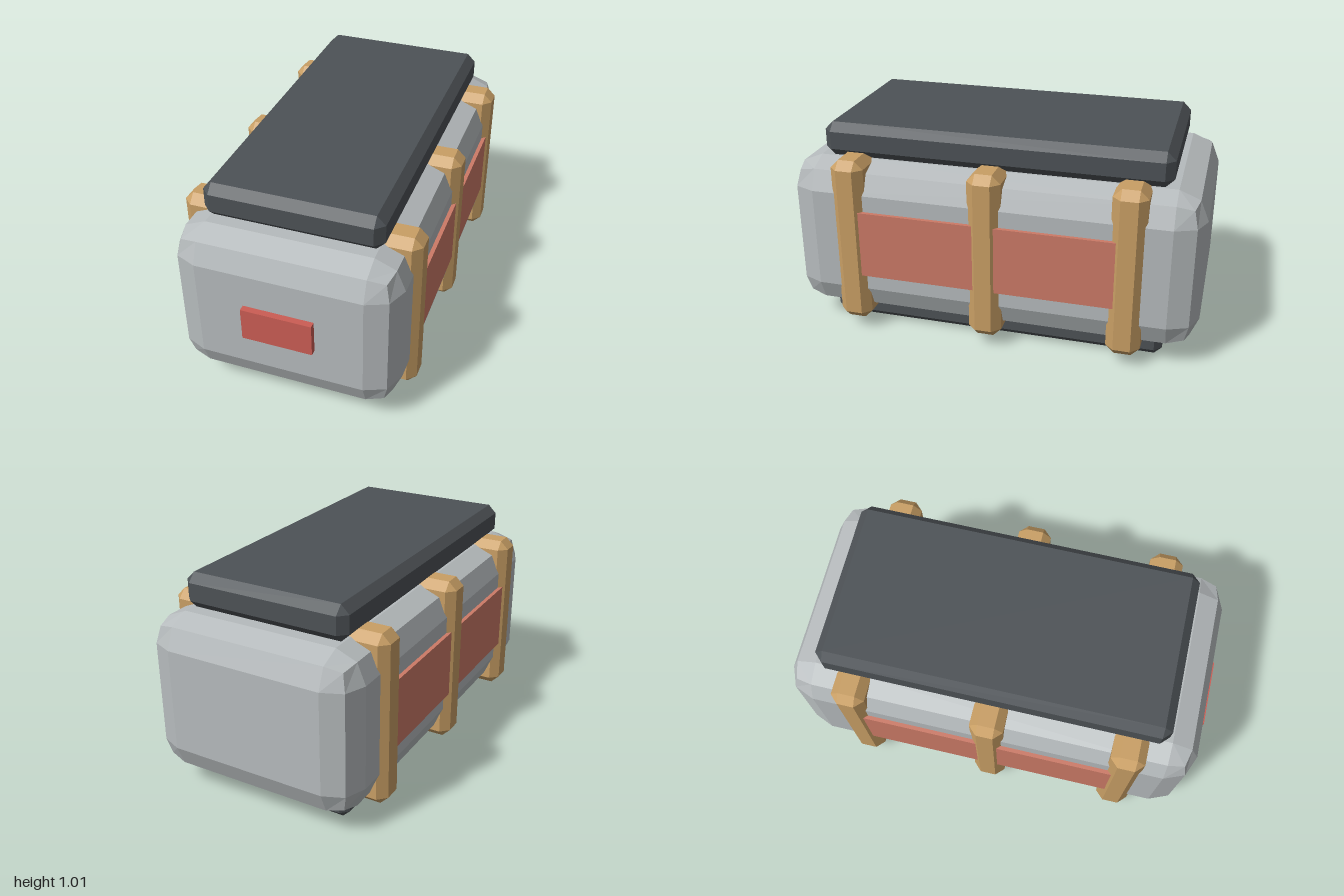
import * as THREE from 'three';
import { RoundedBoxGeometry } from 'three/addons/geometries/RoundedBoxGeometry.js';
import { ConvexGeometry } from 'three/addons/geometries/ConvexGeometry.js';

const mat = (name, color) => {
  const m = new THREE.MeshStandardMaterial({ color });
  m.name = name;
  return m;
};

// Box with every edge cut by a flat chamfer c
function chamferBox(w, h, d, c) {
  const pts = [];
  for (const x of [-w / 2, w / 2])
    for (const y of [-h / 2, h / 2])
      for (const z of [-d / 2, d / 2]) {
        const p = new THREE.Vector3(x, y, z);
        const inner = new THREE.Vector3(x - Math.sign(x) * c, y - Math.sign(y) * c, z - Math.sign(z) * c);
        for (const axis of ['x', 'y', 'z']) {
          const v = inner.clone();
          v[axis] = p[axis];
          pts.push(v);
        }
      }
  return new ConvexGeometry(pts);
}

export function createModel() {
  const grey = mat('hull grey', 0xb6bbbd);
  const dark = mat('dark slate', 0x4d5256);
  const tan = mat('tan bands', 0xc99f65);
  const coral = mat('coral panels', 0xcc7a67);
  const red = mat('red plate', 0xcb5d54);

  const model = new THREE.Group();
  const add = (name, geometry, material, x, y, z) => {
    const mesh = new THREE.Mesh(geometry, material);
    mesh.name = name;
    mesh.position.set(x, y, z);
    model.add(mesh);
  };

  // Body with two-facet rounded edges, flat shaded
  const body = new RoundedBoxGeometry(1.04, 0.765, 1.97, 1, 0.138);
  body.computeVertexNormals();
  add('body', body, grey, 0, 0.4675, -0.015);

  // Lid and base slabs
  add('lid', chamferBox(0.82, 0.165, 1.65, 0.04), dark, 0, 0.9325, -0.015);
  add('base', chamferBox(0.82, 0.115, 1.65, 0.034), dark, 0, 0.0575, -0.015);

  // Three bands wrapped around the body
  for (const z of [0.65, -0.01, -0.67])
    add('band', chamferBox(1.1, 0.825, 0.16, 0.04), tan, 0, 0.4675, z);

  // Side panels between the bands
  for (const side of [-1, 1])
    for (const z of [0.317, -0.338])
      add('sidePanel', new THREE.BoxGeometry(0.03, 0.33, 0.565), coral, side * 0.524, 0.4675, z);

  // Plate on the front
  add('frontPlate', new THREE.BoxGeometry(0.326, 0.16, 0.04), red, 0, 0.47, 0.98);

  return model;
}
